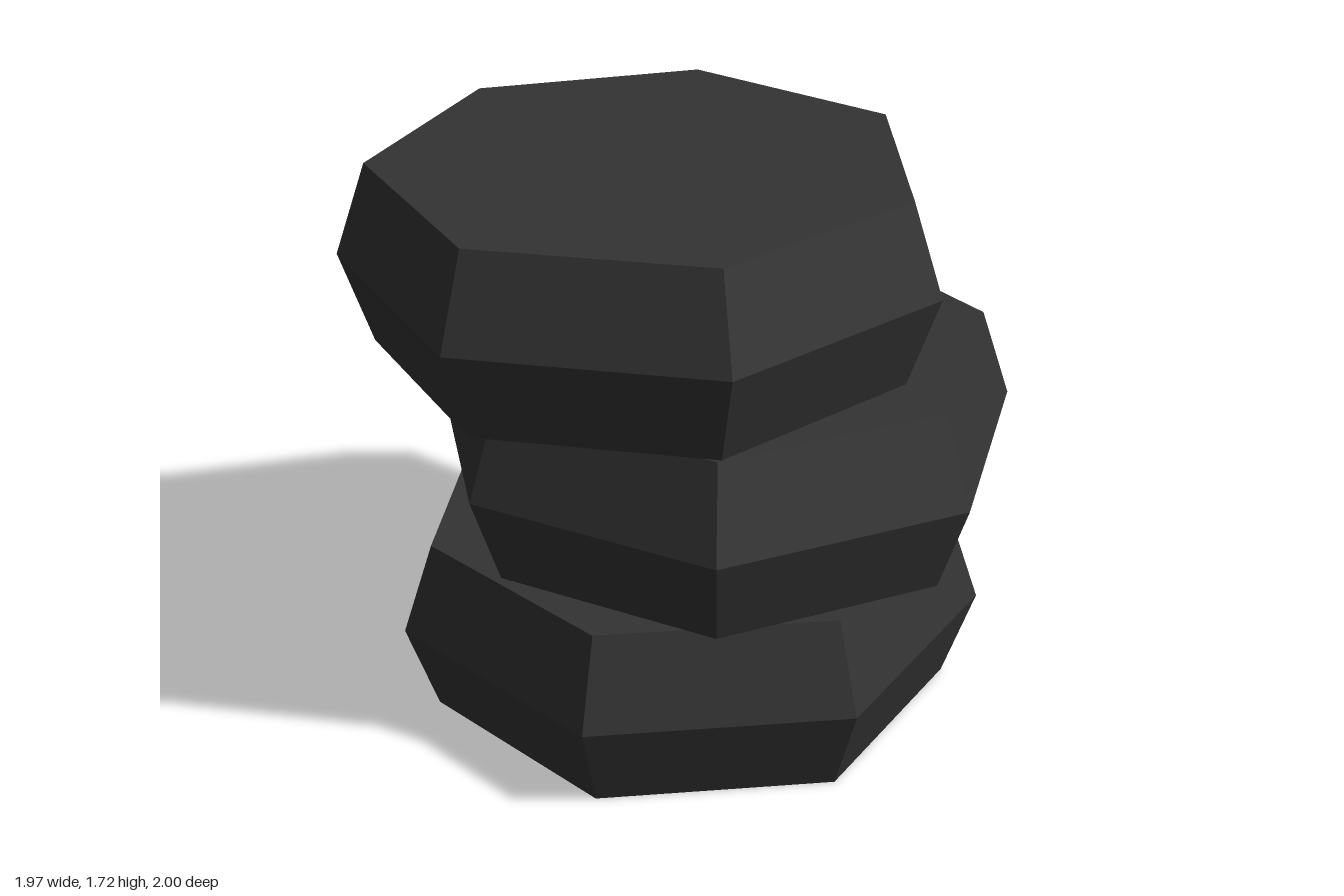
import * as THREE from 'three';

const SIDES = 7;
const HEIGHT = 0.572;   // height of one ring
const RIM = 0.828;      // radius at the top and bottom edges
const TREAD = 0.925;    // radius at the widest point

export function createModel() {
  const group = new THREE.Group();
  group.name = 'tireStack';

  const rubber = new THREE.MeshStandardMaterial({ color: 0x333333 });
  rubber.name = 'dark rubber';
  rubber.flatShading = true;
  rubber.side = THREE.DoubleSide; // the shells are open underneath

  // Bulging seven-sided shell: open bottom, flat closed top
  const profile = [
    new THREE.Vector2(RIM, 0),
    new THREE.Vector2(TREAD, HEIGHT / 2),
    new THREE.Vector2(RIM, HEIGHT),
    new THREE.Vector2(0, HEIGHT),
  ];
  const tireGeometry = new THREE.LatheGeometry(profile, SIDES);

  // Each tire is shifted and turned a little on the one below
  const tires = [
    { name: 'bottomTire', x: 0.002, z: 0.014, turn: -12.8 },
    { name: 'middleTire', x: 0.101, z: 0.073, turn: 4.3 },
    { name: 'topTire', x: -0.073, z: -0.079, turn: 21.2 },
  ];
  tires.forEach(({ name, x, z, turn }, i) => {
    const tire = new THREE.Mesh(tireGeometry, rubber);
    tire.name = name;
    tire.position.set(x, i * HEIGHT, z);
    tire.rotation.y = THREE.MathUtils.degToRad(turn);
    group.add(tire);
  });

  return group;
}
